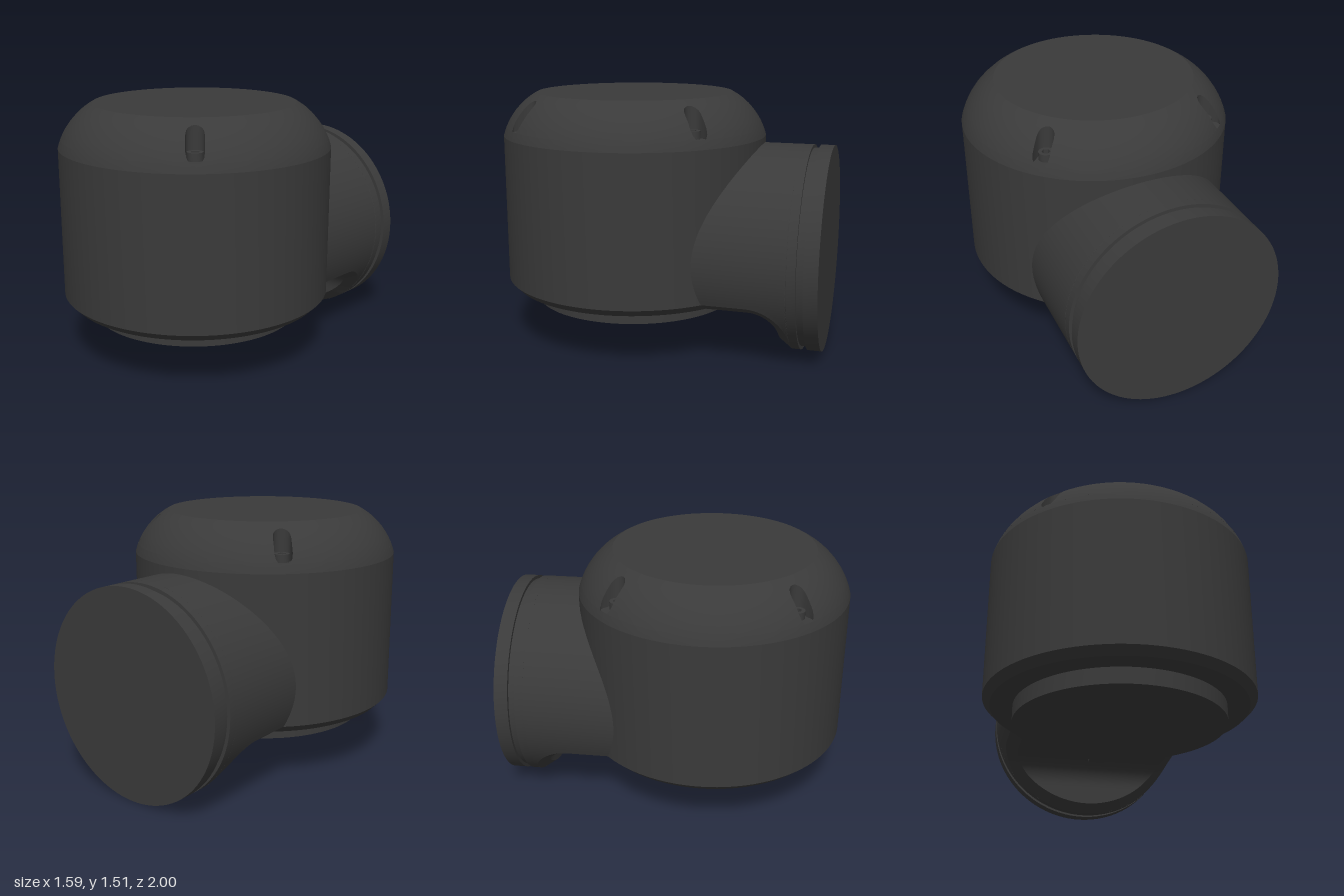
import * as THREE from 'three';
import { toCreasedNormals } from 'three/addons/utils/BufferGeometryUtils.js';

const material = new THREE.MeshStandardMaterial({ color: 0x3a3a3a, side: THREE.DoubleSide });
const BODY_Z = 0.205;

function mesh(name, geometry, crease = 0.5) {
  const m = new THREE.Mesh(toCreasedNormals(geometry, crease), material);
  m.name = name;
  return m;
}

// Surface through rows of points, all rows the same length
function grid(rows) {
  const n = rows[0].length;
  const index = [];
  for (let i = 0; i < rows.length - 1; i++) {
    for (let j = 0; j < n - 1; j++) {
      const a = i * n + j;
      index.push(a, a + 1, a + n + 1, a, a + n + 1, a + n);
    }
  }
  const g = new THREE.BufferGeometry();
  g.setAttribute('position', new THREE.Float32BufferAttribute(rows.flat(2), 3));
  g.setIndex(index);
  g.computeVertexNormals();
  return g;
}

const lathe = (points) =>
  new THREE.LatheGeometry(points.map(([r, y]) => new THREE.Vector2(r, y)), 96);

// Height of the rounded shoulder at radius r
const shoulderY = (r) => 1.145 + Math.sqrt(0.41 ** 2 - (r - 0.4) ** 2);

// Screw pocket outline: [radius, half width]
const POCKET = [[0.64, 0], [0.643, 0.017], [0.655, 0.0357], [0.67, 0.0458], [0.69, 0.05],
  [0.72, 0.05], [0.75, 0.05], [0.765, 0.045], [0.777, 0.03]];
const POCKET_Y = 1.303;

// A quarter of the shoulder, opening around the pockets at both of its edges
function shoulderQuarter() {
  const profile = [[0.59, 0], [0.607, 0], [0.624, 0], ...POCKET,
    [0.777, 0], [0.785, 0], [0.79, 0], [0.795, 0]];
  return grid(profile.map(([r, w]) => {
    const gap = Math.asin(w / r);
    return Array.from({ length: 25 }, (_, j) => {
      const a = gap + (Math.PI / 2 - 2 * gap) * j / 24;
      return [r * Math.cos(a), shoulderY(r), r * Math.sin(a)];
    });
  }));
}

// Recess with a socket screw, lying along +x
function screwPocket() {
  const group = new THREE.Group();
  group.name = 'screwPocket';
  const edge = (side, flat) => POCKET.map(([r, w]) =>
    [Math.sqrt(r * r - w * w), flat ? POCKET_Y : shoulderY(r), side * w]);
  const path = (flat) => [...edge(-1, flat).reverse(), ...edge(1, flat)];
  group.add(mesh('pocketWall', grid([path(false), path(true)])));
  const left = edge(-1, true);
  const right = edge(1, true);
  group.add(mesh('pocketFloor', grid(left.map((p, i) => [p, right[i]]))));

  const head = new THREE.Shape().absarc(0, 0, 0.043, 0, Math.PI * 2);
  const hex = Array.from({ length: 6 }, (_, i) =>
    new THREE.Vector2(0.025 * Math.cos(i * Math.PI / 3), 0.025 * Math.sin(i * Math.PI / 3)));
  head.holes.push(new THREE.Path(hex));
  const screw = new THREE.ExtrudeGeometry(head,
    { depth: 0.045, bevelEnabled: false, curveSegments: 12 });
  screw.rotateX(-Math.PI / 2).translate(0.687, POCKET_Y, 0);
  group.add(mesh('screwHead', screw));
  return group;
}

// Side pipe, cut away underneath by a filleted floor with a bevelled rim
function sidePipe() {
  const CY = 0.61, R = 0.61, INNER = 0.56, BEVEL = 0.07;
  // floor profile: z, y, and normal pointing into the pipe
  const floor = [[-0.25, 0.335, 0, 1]];
  for (let i = 0; i <= 12; i++) {
    const s = Math.sin(i * Math.PI / 24), c = Math.cos(i * Math.PI / 24);
    floor.push([-0.6 - 0.16 * s, 0.175 + 0.16 * c, -s, c]);
  }
  const start = Math.asin((CY - 0.175) / INNER);
  for (let i = 1; i <= 10; i++) {
    const a = start + (Math.PI / 2 - start) * i / 10;
    floor.push([-0.76, CY - INNER * Math.sin(a), -1, 0]);
  }
  return grid(floor.map(([z, y, nz, ny]) => {
    const rimY = (y - CY) * R / INNER + BEVEL * ny;
    const rimZ = z + BEVEL * nz;
    const a0 = Math.asin(Math.max(-1, rimY / R));
    const row = [];
    for (let j = 0; j <= 72; j++) {
      const a = Math.PI - a0 + (2 * a0 - Math.PI) * j / 72;
      row.push([R * Math.cos(a), CY + R * Math.sin(a), rimZ]);
    }
    const x = Math.sqrt(Math.max(0, INNER ** 2 - (y - CY) ** 2));
    row.push([x, y, z], [-x, y, z], row[0]);
    return row;
  }));
}

export function createModel() {
  const model = new THREE.Group();
  model.name = 'pipeHousing';

  // Main drum with shoulder and flat lid
  const drum = new THREE.Group();
  drum.name = 'drum';
  drum.position.z = BODY_Z;
  drum.add(mesh('drumWall', lathe([[0, 0.335], [0.75, 0.335], [0.795, 0.38],
    [0.795, shoulderY(0.795)]])));
  const lid = new THREE.CircleGeometry(0.59, 96);
  lid.rotateX(-Math.PI / 2).translate(0, shoulderY(0.59), 0);
  drum.add(mesh('lid', lid));
  for (let k = 0; k < 4; k++) {
    const angle = Math.PI / 4 + k * Math.PI / 2;
    const quarter = mesh('shoulder', shoulderQuarter());
    quarter.rotation.y = angle;
    const pocket = screwPocket();
    pocket.rotation.y = angle;
    drum.add(quarter, pocket);
  }

  // Base disc with a small locating key at the back
  drum.add(mesh('baseDisc', new THREE.CylinderGeometry(0.62, 0.62, 0.1, 96).translate(0, 0.29, 0)));
  drum.add(mesh('baseKey', new THREE.BoxGeometry(0.1, 0.098, 0.09).translate(0, 0.291, -0.63)));
  model.add(drum);

  // Side pipe and its grooved end
  model.add(mesh('sidePipe', sidePipe()));
  const end = lathe([[0.61, 0.83], [0.61, 0.88], [0.59, 0.88], [0.59, 0.92],
    [0.61, 0.92], [0.61, 1], [0, 1]]);
  end.rotateX(-Math.PI / 2).translate(0, 0.61, 0);
  model.add(mesh('pipeEnd', end));

  return model;
}
